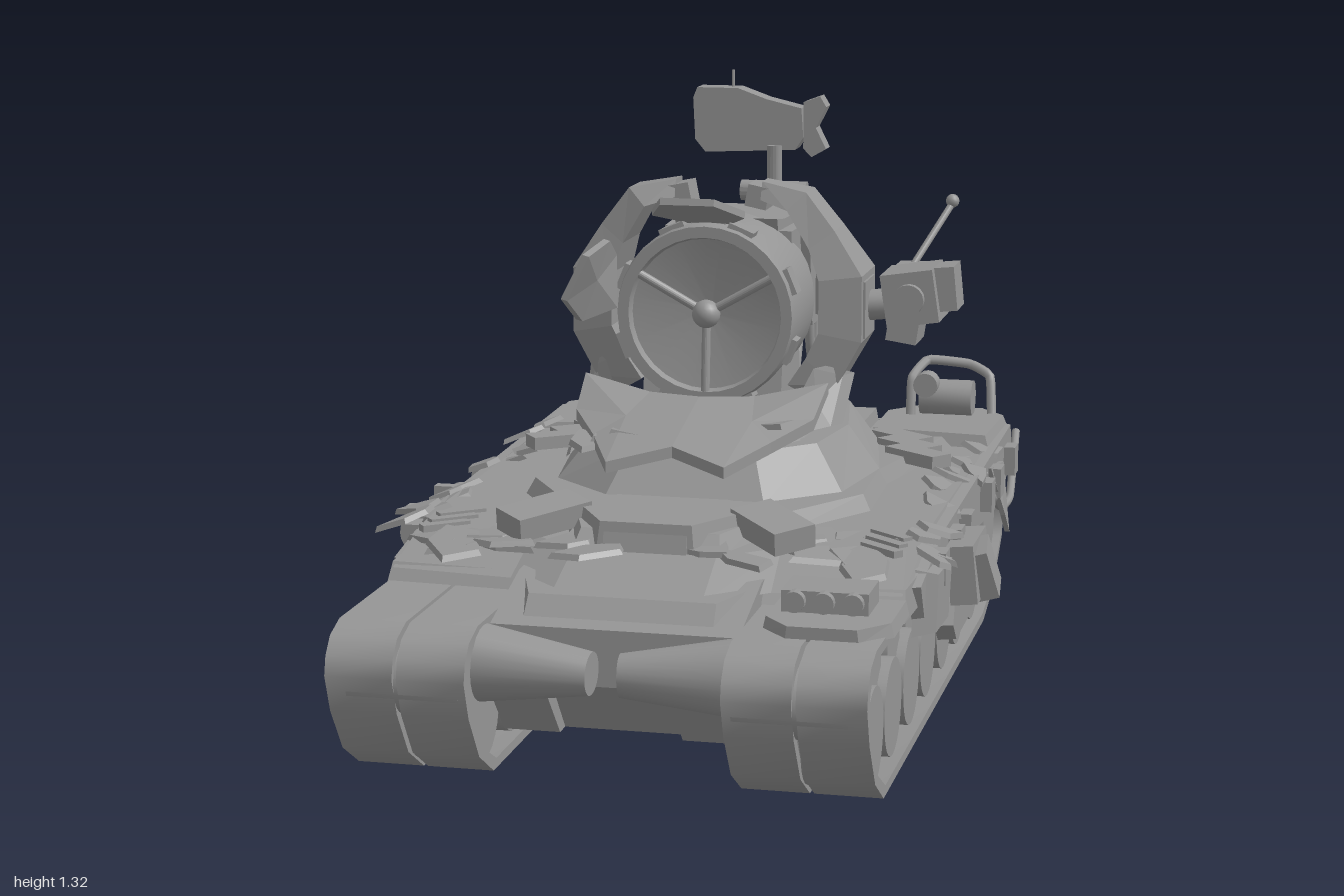
import * as THREE from 'three';
import { toCreasedNormals, mergeGeometries } from 'three/addons/utils/BufferGeometryUtils.js';

const flat = new THREE.MeshStandardMaterial({ color: 0x959595, flatShading: true, side: THREE.DoubleSide });
const smooth = new THREE.MeshStandardMaterial({ color: 0x959595, side: THREE.DoubleSide });
const V = (p) => new THREE.Vector3(...p);

let seed = 7;
const rnd = (a, b) => {
  seed = (seed * 16807) % 2147483647;
  return a + (b - a) * (seed / 2147483647);
};

// Closed solid through rings of [x, y, z] points, wound outward
function loftGeo(rings) {
  const n = rings[0].length, tris = [];
  const mid = (r) => r.reduce((s, p) => s.add(V(p)), V([0, 0, 0])).divideScalar(n).toArray();
  for (let k = 0; k + 1 < rings.length; k++)
    for (let i = 0; i < n; i++) {
      const j = (i + 1) % n, A = rings[k], B = rings[k + 1];
      tris.push([A[i], A[j], B[j]], [A[i], B[j], B[i]]);
    }
  const a = rings[0], z = rings[rings.length - 1], ca = mid(a), cz = mid(z);
  for (let i = 0; i < n; i++) {
    const j = (i + 1) % n;
    tris.push([ca, a[j], a[i]], [cz, z[i], z[j]]);
  }
  const c = V(ca).lerp(V(cz), 0.5);
  let vol = 0;
  for (const t of tris) {
    const [p, q, r] = t.map((s) => V(s).sub(c));
    vol += p.dot(q.cross(r));
  }
  if (vol < 0) tris.forEach((t) => t.reverse());
  const g = new THREE.BufferGeometry();
  g.setAttribute('position', new THREE.Float32BufferAttribute(tris.flat(2), 3));
  g.computeVertexNormals();
  return g;
}

export function createModel() {
  const root = new THREE.Group();
  root.name = 'trackedVehicle';
  const add = (name, geo, pos = [0, 0, 0], rot = [0, 0, 0], mat = flat) => {
    const m = new THREE.Mesh(geo, mat);
    m.name = name;
    m.position.set(...pos);
    m.rotation.set(...rot);
    root.add(m);
    return m;
  };
  const box = (name, size, pos, rot) => add(name, new THREE.BoxGeometry(...size), pos, rot);
  const loft = (name, rings) => add(name, loftGeo(rings));
  // Rod between two points
  const rod = (name, a, b, r, r2 = r, sides = 16) => {
    const d = V(b).sub(V(a));
    const g = toCreasedNormals(new THREE.CylinderGeometry(r2, r, d.length(), sides), 0.6);
    const m = add(name, g, V(a).lerp(V(b), 0.5).toArray(), [0, 0, 0], smooth);
    m.quaternion.setFromUnitVectors(V([0, 1, 0]), d.normalize());
  };
  const tube = (name, pts, r) => {
    const path = new THREE.CatmullRomCurve3(pts.map(V), false, 'catmullrom', 0.2);
    add(name, new THREE.TubeGeometry(path, 32, r, 8), undefined, undefined, smooth);
  };
  // Outline [x, z] mirrored about x = 0, raised from y0 to y1 with a scaled top
  const slab = (name, half, y0, y1, sx, sz, cz) => {
    const o = [...half, ...half.map(([x, z]) => [-x, z]).reverse()];
    loft(name, [o.map(([x, z]) => [x, y0, z]), o.map(([x, z]) => [x * sx, y1, cz + (z - cz) * sz])]);
  };
  // Side profile [z, y] swept across x
  const side = (name, prof, x0, x1, s = 1) => {
    const c = prof.reduce((t, p) => [t[0] + p[0] / prof.length, t[1] + p[1] / prof.length], [0, 0]);
    loft(name, [prof.map(([z, y]) => [x0, y, z]),
      prof.map(([z, y]) => [x1, c[1] + (y - c[1]) * s, c[0] + (z - c[0]) * s])]);
  };
  // Thin plate from corner points, thickened along d
  const plate = (name, pts, d) => loft(name, [pts, pts.map((p) => p.map((v, i) => v + d[i]))]);

  // Tracks: two belts per side with overlapping road wheels
  const outer = [[0.8, 0], [-0.6, 0], [-0.76, 0.04], [-0.91, 0.14], [-0.93, 0.21], [-0.87, 0.33], [0.9, 0.335], [0.96, 0.315], [0.99, 0.28], [1, 0.24], [0.97, 0.16], [0.9, 0.06]];
  const beltShape = new THREE.Shape(outer.map(([z, y]) => new THREE.Vector2(-z, y)));
  beltShape.holes.push(new THREE.Path(outer.map(([z, y]) => new THREE.Vector2(-z * 0.975, 0.165 + (y - 0.165) * 0.87))));
  for (const s of [-1, 1]) {
    for (const x of [0.333, 0.484]) {
      const g = new THREE.ExtrudeGeometry(beltShape, { depth: 0.142, bevelEnabled: false });
      add('trackBelt', toCreasedNormals(g.translate(0, 0, -0.071), 1), [s * x, 0, 0], [0, Math.PI / 2, 0], smooth);
    }
    for (const z of [0.8, 0.58, 0.35, 0.13, -0.1, -0.31, -0.54])
      rod('roadWheel', [s * 0.28, 0.127, z], [s * 0.535, 0.127, z], 0.104, 0.104, 24);
    for (const z of [0.915, 0.69, 0.465, 0.24, 0.015, -0.205, -0.425, -0.64])
      rod('innerWheel', [s * 0.28, 0.225, z], [s * 0.515, 0.225, z], 0.075, 0.075, 24);
    rod('sprocket', [s * 0.28, 0.195, -0.81], [s * 0.535, 0.195, -0.81], 0.095, 0.095, 24);
  }

  // Lower hull and final drives
  side('lowerHull', [[0.72, 0.08], [-0.72, 0.08], [-0.9, 0.13], [-0.92, 0.4], [0.6, 0.38], [0.82, 0.32], [0.82, 0.2]], -0.26, 0.26);
  for (const s of [-1, 1]) {
    rod('finalDrive', [s * 0.26, 0.25, 0.865], [s * 0.03, 0.245, 0.88], 0.08, 0.045, 24);
    plate('frontBracket', [[s * 0.13, 0.08, 0.76], [s * 0.25, 0.08, 0.76], [s * 0.25, 0.2, 0.87], [s * 0.13, 0.2, 0.87]], [0, 0, -0.06]);
  }
  box('rearPlate', [0.52, 0.29, 0.02], [0, 0.275, -0.925]);
  box('rearHatch', [0.16, 0.17, 0.015], [0.02, 0.27, -0.938]);

  // Deck and raised armour
  slab('deck', [[0.2, 0.8], [0.26, 0.62], [0.56, 0.6], [0.57, 0.3], [0.57, -0.92]], 0.31, 0.37, 0.99, 0.97, -0.9);
  slab('upperDeck', [[0.16, 0.72], [0.28, 0.6], [0.55, 0.57], [0.565, 0.3], [0.565, -0.6], [0.56, -0.91]], 0.36, 0.42, 0.97, 0.9, -0.88);
  slab('centreArmour', [[0.16, 0.56], [0.22, 0.38], [0.4, 0.08], [0.39, -0.2], [0.48, -0.62]], 0.41, 0.455, 0.94, 0.92, -0.1);
  slab('rearDeck', [[0.24, -0.6], [0.24, -0.915]], 0.41, 0.45, 0.97, 0.99, -0.75);
  slab('glacisBox', [[0.11, 0.56], [0.19, 0.42], [0.14, 0.28]], 0.38, 0.48, 0.9, 0.9, 0.42);
  box('visionSlit', [0.18, 0.065, 0.02], [0, 0.425, 0.55], [-0.25, 0, 0]);
  for (const s of [-1, 1]) {
    for (let i = 0; i < 3; i++) {
      box('deckLouver', [0.11, 0.015, 0.025], [s * 0.48, 0.42, 0.3 + i * 0.06], [0, s * -0.7, 0]);
      box('deckHatch', [0.16, 0.03, 0.06], [s * (0.36 + i * 0.035), 0.455, -0.53 + i * 0.09], [0, s * -0.65, 0]);
    }
    box('deckPanel', [0.1, 0.05, 0.18], [s * 0.25, 0.46, 0.44], [0.15, s * 0.75, 0]);
    side('sideSkirt', [[0.5, 0.36], [0.45, 0.28], [0.1, 0.3], [-0.3, 0.3], [-0.6, 0.27], [-0.8, 0.29], [-0.92, 0.36], [-0.9, 0.43], [0.2, 0.41]], s * 0.55, s * 0.575, 0.98);
    for (const z of [-0.8, -0.55, -0.4, -0.07, 0.08, 0.3]) box('skirtClip', [0.045, 0.07, 0.06], [s * 0.58, 0.36, z]);
  }
  tube('skirtRail', [[0.58, 0.36, -0.45], [0.59, 0.28, -0.62], [0.59, 0.27, -0.78], [0.58, 0.4, -0.95]], 0.01);

  // Side stowage
  rod('fuelCylinder', [-0.64, 0.32, -0.23], [-0.64, 0.32, 0.11], 0.046, 0.046, 20);
  for (const z of [-0.16, 0.05]) box('cylinderStrap', [0.1, 0.105, 0.03], [-0.635, 0.32, z]);
  side('sideTray', [[0.2, 0.2], [0.15, 0.155], [-0.12, 0.16], [-0.17, 0.2], [-0.16, 0.3], [-0.03, 0.25], [0.18, 0.25]], 0.56, 0.6, 0.95);
  box('sidePack', [0.06, 0.13, 0.2], [0.615, 0.31, 0.08], [0, 0, 0.1]);
  box('sidePackFlap', [0.05, 0.11, 0.1], [0.65, 0.31, 0.1], [0.2, 0.1, 0.25]);
  side('sideArmour', [[0.45, 0.24], [0.25, 0.23], [0.2, 0.37], [0.42, 0.38]], 0.55, 0.6, 0.85);

  // Front fender lamp box
  loft('lampFender', [[0.33, 0], [0.36, 0.05]].map(([y, d]) => [[0.3, 0.6], [0.3, 0.78], [0.36, 0.85], [0.51, 0.85], [0.57, 0.78], [0.57, 0.6]]
    .map(([x, z]) => [0.435 + (x - 0.435) * (1 - d), y, z])));
  box('lampBox', [0.18, 0.05, 0.12], [0.42, 0.38, 0.68]);
  for (const x of [0.36, 0.42, 0.48]) rod('lamp', [x, 0.385, 0.73], [x, 0.385, 0.76], 0.022);

  // Rear corner bins, guard rail and lamp
  const binRing = [[0.25, -0.66], [0.56, -0.62], [0.57, -0.9], [0.5, -0.985], [0.32, -0.985], [0.25, -0.9]];
  const bin = (name, s, layers) => loft(name, layers.map(([y, k]) => binRing.map(([x, z]) => [s * (0.42 + (x - 0.42) * k), y, -0.82 + (z + 0.82) * k])));
  bin('rearLeftBin', 1, [[0.29, 0.9], [0.33, 1], [0.41, 1], [0.45, 0.9]]);
  bin('rearRightBin', -1, [[0.36, 0.97], [0.4, 1], [0.435, 0.94]]);
  tube('guardRail', [[0.33, 0.45, -0.85], [0.33, 0.54, -0.87], [0.36, 0.575, -0.93], [0.46, 0.565, -0.95], [0.515, 0.54, -0.93], [0.525, 0.45, -0.9]], 0.012);
  rod('rearLamp', [0.35, 0.49, -0.89], [0.48, 0.49, -0.89], 0.045);
  rod('rearLens', [0.37, 0.53, -0.82], [0.37, 0.53, -0.87], 0.03);
  box('rearPack', [0.2, 0.12, 0.04], [0.42, 0.37, -0.975]);

  // Turret base and neck
  slab('turretBase', [[0.18, 0.2], [0.33, 0.06], [0.37, -0.2], [0.31, -0.52], [0.2, -0.62]], 0.45, 0.55, 0.78, 0.85, -0.36);
  side('turretNeck', [[-0.06, 0.55], [-0.3, 0.55], [-0.28, 0.76], [-0.1, 0.76]], -0.16, 0.16);
  for (const s of [-1, 1]) {
    plate('noseShield', [[0, 0.57, 0.31], [s * 0.13, 0.545, 0.38], [s * 0.2, 0.57, 0.22], [s * 0.27, 0.6, 0.1], [s * 0.28, 0.66, -0.02], [s * 0.12, 0.63, 0.02], [0, 0.63, 0.05]], [0, 0.025, 0]);
    plate('cheekPlate', [[s * 0.17, 0.56, 0.02], [s * 0.28, 0.58, -0.05], [s * 0.29, 0.68, -0.14], [s * 0.24, 0.71, -0.05]], [s * 0.02, 0, -0.04]);
    tube('supportFrame', [[s * 0.12, 0.73, -0.48], [s * 0.12, 0.58, -0.4], [s * 0.12, 0.58, -0.28]], 0.014);
  }

  // Searchlight drum with recessed face, hub and spokes
  const lathe = [[0, -0.42], [0.12, -0.4], [0.18, -0.35], [0.2, -0.26], [0.205, -0.02], [0.2, 0.0], [0.175, 0.0], [0.17, -0.02], [0.03, -0.05], [0, -0.05]];
  const drum = new THREE.LatheGeometry(lathe.map(([r, y]) => new THREE.Vector2(r, y)), 32).rotateX(Math.PI / 2);
  add('lightDrum', toCreasedNormals(drum, 0.6), [0, 0.83, 0], undefined, smooth);
  add('lightHub', new THREE.SphereGeometry(0.032, 20, 12), [0, 0.83, -0.02], undefined, smooth);
  for (let i = 0; i < 3; i++) {
    const a = -Math.PI / 2 + (i * Math.PI * 2) / 3;
    rod('lightSpoke', [0, 0.83, -0.025], [Math.cos(a) * 0.18, 0.83 + Math.sin(a) * 0.18, -0.01], 0.01);
  }
  for (let i = 0; i < 8; i++) {
    const a = ((i + 0.5) * Math.PI) / 4;
    box('rimClamp', [0.02, 0.06, 0.05], [Math.cos(a) * 0.203, 0.83 + Math.sin(a) * 0.203, -0.04], [0, 0, a]);
  }

  // Angular yoke arms, narrowing in depth from pivot to tip
  const arm = [[0.22, 0.63, 0.17, 0.66], [0.28, 0.66, 0.21, 0.72], [0.335, 0.76, 0.24, 0.78], [0.335, 0.91, 0.24, 0.9], [0.27, 1.01, 0.215, 0.97], [0.205, 1.095, 0.165, 1.055], [0.1, 1.115, 0.1, 1.075]];
  const armZ = [[-0.1, -0.24], [-0.1, -0.28], [-0.1, -0.31], [-0.1, -0.31], [-0.11, -0.27], [-0.11, -0.25], [-0.13, -0.23]];
  for (const s of [-1, 1]) {
    loft('yokeArm', arm.map(([ox, oy, ix, iy], i) => {
      const [f, b] = armZ[i];
      return [[s * ox, oy, f - 0.02], [s * ox, oy, b + 0.02], [s * ix, iy, b], [s * ix, iy, f]];
    }));
    box('yokePivot', [0.05, 0.13, 0.12], [s * 0.315, 0.83, -0.2]);
    plate('yokeFairing', [[s * 0.32, 0.77, -0.28], [s * 0.32, 0.89, -0.28], [s * 0.2, 0.9, -0.42], [s * 0.2, 0.77, -0.42]], [s * -0.03, 0, 0]);
    box('yokeTip', [0.05, 0.05, 0.08], [s * 0.09, 1.08, -0.18], [0, 0, s * -0.2]);
  }

  // Rear housing with spine, steps and side gear
  side('rearHousing', [[-0.24, 0.99], [-0.58, 0.98], [-0.68, 0.9], [-0.78, 0.75], [-0.6, 0.73], [-0.24, 0.74]], -0.15, 0.15);
  side('housingSpine', [[-0.22, 1.02], [-0.3, 1.01], [-0.6, 1.0], [-0.7, 0.91], [-0.68, 0.85], [-0.25, 0.95]], -0.12, 0.12);
  for (let i = 0; i < 3; i++) box('step', [0.2, 0.015, 0.03], [0, 0.8 + i * 0.06, -0.755 + i * 0.04]);
  for (const s of [-1, 1]) {
    plate('sideFin', [[s * 0.15, 0.98, -0.34], [s * 0.15, 0.99, -0.6], [s * 0.15, 0.75, -0.78], [s * 0.15, 0.75, -0.38]], [s * 0.022, 0, 0]);
    tube('rearHoop', [[s * 0.12, 0.75, -0.6], [s * 0.12, 0.66, -0.62], [s * 0.12, 0.61, -0.65], [s * 0.12, 0.64, -0.68], [s * 0.12, 0.75, -0.69]], 0.012);
  }
  rod('sideMotor', [-0.16, 0.85, -0.56], [-0.2, 0.85, -0.56], 0.075, 0.075, 20);
  rod('sideMotorHub', [-0.2, 0.85, -0.56], [-0.225, 0.85, -0.56], 0.035);
  box('sideGearBox', [0.05, 0.1, 0.1], [0.19, 0.9, -0.46], [0.3, 0, 0]);
  box('sideGearBlock', [0.05, 0.07, 0.08], [0.19, 0.84, -0.6], [-0.4, 0, 0]);
  tube('cableLoop', [[0.2, 0.9, -0.4], [0.24, 0.83, -0.46], [0.22, 0.78, -0.55], [0.17, 0.85, -0.62]], 0.01);

  // Flared hood and side shutter in front of the drum
  plate('topHood', [[-0.05, 1.03, -0.05], [0.05, 1.03, -0.05], [0.105, 1.06, 0.06], [0.06, 1.1, 0.17], [-0.06, 1.1, 0.17], [-0.105, 1.06, 0.06]], [0, 0.015, -0.005]);
  plate('sideShutter', [[-0.2, 0.84, 0], [-0.2, 0.96, 0], [-0.2, 1.0, 0.06], [-0.22, 0.98, 0.17], [-0.27, 0.88, 0.17], [-0.26, 0.82, 0.08]], [-0.015, 0.004, 0]);
  box('hoodHinge', [0.08, 0.03, 0.06], [0, 1.03, -0.07]);

  // Screen antenna on its mast
  rod('mast', [0.03, 0.98, -0.62], [0.03, 1.14, -0.62], 0.018);
  rod('mastJoint', [-0.05, 1.03, -0.62], [0.11, 1.03, -0.62], 0.025);
  plate('screen', [[-0.165, 1.15], [-0.14, 1.12], [0.08, 1.13], [0.1, 1.16], [0.095, 1.23], [0.01, 1.25], [-0.06, 1.275], [-0.16, 1.275], [-0.17, 1.25]].map(([x, y]) => [x, y, -0.62]), [0, 0, -0.06]);
  plate('screenWing', [[0.11, 1.14], [0.13, 1.12], [0.165, 1.14], [0.14, 1.19], [0.165, 1.24], [0.15, 1.265], [0.11, 1.25]].map(([x, y]) => [x, y, -0.57]), [0, 0, -0.05]);
  rod('screenWhip', [-0.08, 1.27, -0.66], [-0.08, 1.315, -0.66], 0.004);

  // Sensor pod on the left arm
  rod('podArm', [0.32, 0.83, -0.21], [0.42, 0.84, -0.22], 0.035);
  box('sensorPod', [0.12, 0.12, 0.16], [0.44, 0.86, -0.22], [0, 0, 0.15]);
  box('sensorSide', [0.05, 0.1, 0.1], [0.515, 0.88, -0.22], [0, 0, 0.1]);
  box('sensorLower', [0.07, 0.06, 0.12], [0.425, 0.79, -0.2], [0, 0, -0.15]);
  box('sensorBack', [0.08, 0.06, 0.1], [0.42, 0.88, -0.33]);
  rod('sensorLens', [0.44, 0.86, -0.15], [0.44, 0.86, -0.12], 0.035);
  rod('podAntenna', [0.41, 0.9, -0.36], [0.485, 1.035, -0.47], 0.008);
  add('antennaTip', new THREE.SphereGeometry(0.016, 12, 8), [0.485, 1.04, -0.47], undefined, smooth);

  // Jagged loose armour plates lying on the hull
  const shards = (name, n, place) => {
    const parts = [];
    for (let i = 0; i < n; i++) {
      const [x, y, z, size, lean] = place();
      const p = [0, 1.3, 2.4, 3.9, 5.1].map((a) => [Math.cos(a) * rnd(0.3, 1.3) * size, 0, Math.sin(a) * rnd(0.2, 0.8) * size]);
      const g = loftGeo([p, p.map((q) => [q[0] * 0.9, 0.012, q[2] * 0.9])]);
      g.rotateY(rnd(0, 6.28)).rotateX(rnd(-0.1, 0.2)).rotateZ(-x * lean + rnd(-0.08, 0.08));
      parts.push(g.translate(x, y, z));
    }
    add(name, mergeGeometries(parts));
  };
  for (const s of [-1, 1]) {
    shards('edgeShards', 16, () => [s * rnd(0.5, 0.57), rnd(0.39, 0.43), rnd(-0.65, 0.4), 0.07, 0.6]);
    shards('frontShards', 16, () => { const x = rnd(0.05, 0.48); return [s * x, 0.43 - x * 0.06, rnd(0.28, 0.66 - x * 0.25), 0.1, 0.15]; });
    shards('turretShards', 8, () => [s * rnd(0.05, 0.22), rnd(0.56, 0.61), rnd(0.02, 0.2), 0.08, -0.5]);
    plate('hangingShard', [[s * 0.57, 0.4, -0.5], [s * 0.575, 0.38, -0.68], [s * 0.6, 0.22, -0.62], [s * 0.6, 0.28, -0.54]], [s * 0.012, 0, 0]);
  }
  return root;
}
